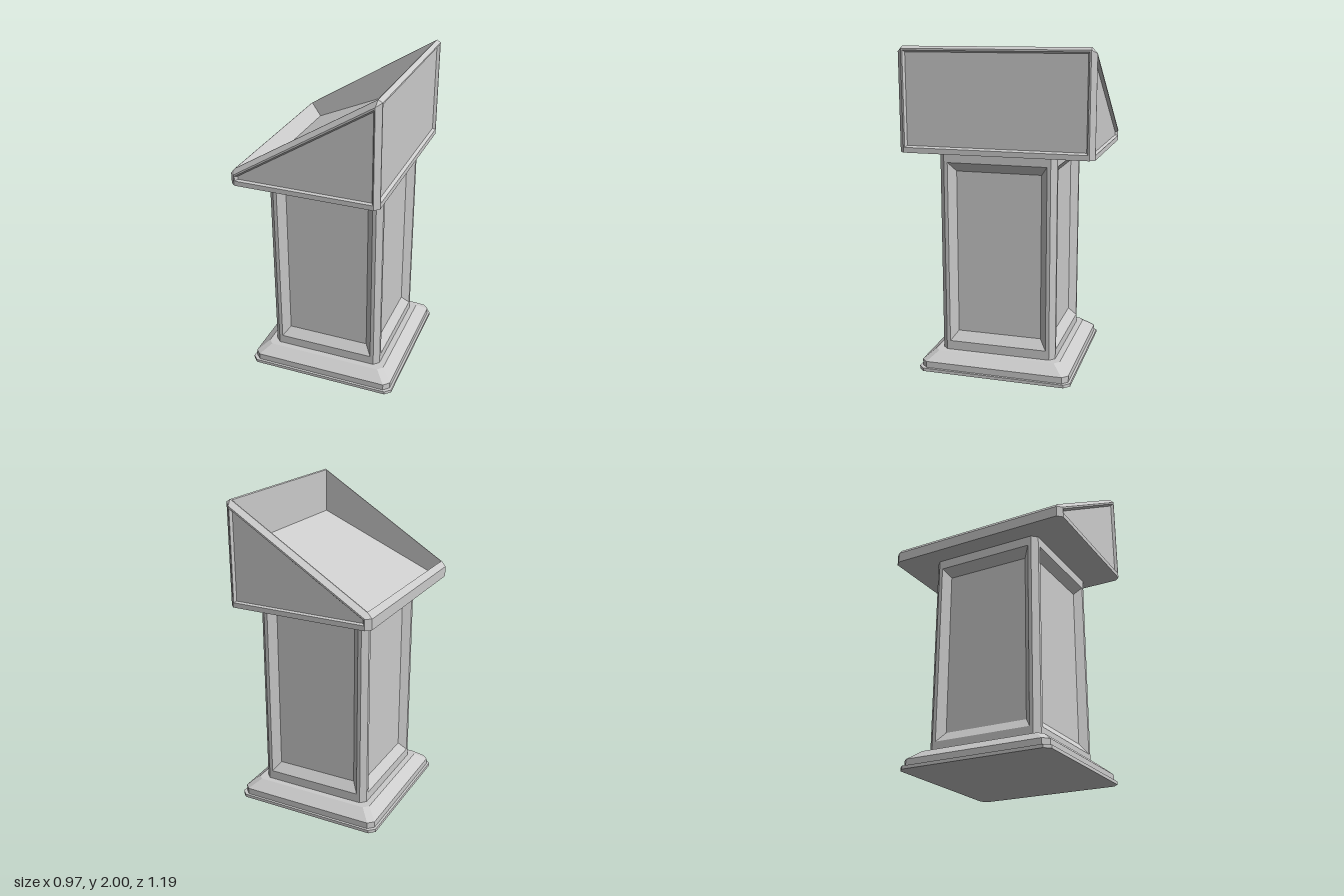
import * as THREE from 'three';

const material = new THREE.MeshStandardMaterial({ color: 0xcccccc, flatShading: true });

// Skin between successive loops of equal length; optionally cap either end.
function loft(loops, capEnd = true, capStart = false) {
  const pos = [];
  const tri = (a, b, c) => pos.push(...a, ...b, ...c);
  const fan = (p) => { for (let i = 1; i < p.length - 1; i++) tri(p[0], p[i], p[i + 1]); };
  for (let k = 0; k < loops.length - 1; k++) {
    const a = loops[k], b = loops[k + 1], n = a.length;
    for (let i = 0; i < n; i++) {
      const j = (i + 1) % n;
      tri(a[i], a[j], b[j]);
      tri(a[i], b[j], b[i]);
    }
  }
  if (capEnd) fan(loops[loops.length - 1]);
  if (capStart) fan([...loops[0]].reverse());
  const g = new THREE.BufferGeometry();
  g.setAttribute('position', new THREE.Float32BufferAttribute(pos, 3));
  g.computeVertexNormals();
  return g;
}

function add(parent, name, geometry) {
  const mesh = new THREE.Mesh(geometry, material);
  mesh.name = name;
  parent.add(mesh);
  return mesh;
}

// Horizontal rectangle with cut corners, counter-clockwise from above.
// height is a number or a function of x and z.
function octagon(x0, x1, z, c, height) {
  const y = typeof height === 'function' ? height : () => height;
  return [
    [x1, z - c], [x1, c - z], [x1 - c, -z], [x0 + c, -z],
    [x0, c - z], [x0, z - c], [x0 + c, z], [x1 - c, z],
  ].map(([px, pz]) => [px, y(px, pz), pz]);
}

// Upright rectangle facing +z
const rect = (w, y0, y1, z) => [[-w, y0, z], [w, y0, z], [w, y1, z], [-w, y1, z]];

function createBase() {
  const ring = (r, c, y) => octagon(-r, r, r, c, y);
  return loft([
    ring(0.483, 0.035, 0), ring(0.483, 0.035, 0.02),
    ring(0.468, 0.035, 0.02), ring(0.468, 0.035, 0.06),
    ring(0.4, 0.03, 0.115),
  ], true, true);
}

function createColumn() {
  const column = new THREE.Group();
  column.name = 'column';
  const y0 = 0.115, y1 = 1.37, r = 0.363, e = 0.33;
  for (let i = 0; i < 4; i++) {
    const side = new THREE.Group();
    side.name = 'columnSide';
    side.rotation.y = i * Math.PI / 2;
    add(side, 'recessedPanel', loft([
      rect(e, y0, y1, r), rect(0.308, 0.172, 1.312, r), rect(0.265, 0.23, 1.255, r - 0.045),
    ]));
    add(side, 'cornerChamfer', loft([[[e, y0, r], [r, y0, e], [r, y1, e], [e, y1, r]]]));
    column.add(side);
  }
  return column;
}

function createHead() {
  const head = new THREE.Group();
  head.name = 'slopedHead';
  const x0 = -0.49, x1 = 0.42, z = 0.595, c = 0.03;
  const slope = (x) => 2 + (x - 0.395) * 0.622;
  const lower = octagon(x0, x1, z, c, 1.37);
  const upper = octagon(x0, x1, z, c, (px, pz) =>
    Math.abs(pz) > 0.59 ? slope(px) - 0.03 : px > 0 ? 1.985 : 1.435);
  const wall = (i) => {
    const j = (i + 1) % 8;
    return [lower[i], lower[j], upper[j], upper[i]];
  };

  // Underside
  add(head, 'underside', loft([[...lower].reverse()]));

  // Recessed triangular sides, mirrored front to back
  const hole = [[-0.455, 1.4, z], [0.385, 1.4, z], [0.385, 1.952, z], [-0.455, 1.43, z]];
  const inset = [[-0.442, 1.406, z - 0.018], [0.376, 1.406, z - 0.018],
    [0.376, 1.934, z - 0.018], [-0.442, 1.425, z - 0.018]];
  const frontLoops = [wall(6), hole, inset];
  add(head, 'frontPanel', loft(frontLoops));
  add(head, 'backPanel', loft(frontLoops.map((l) => l.map(([a, b, d]) => [a, b, -d]).reverse())));

  // Tall recessed end panel
  const end = (w, a, b, x) => [[x, a, w], [x, a, -w], [x, b, -w], [x, b, w]];
  add(head, 'tallEndPanel', loft([wall(0), end(0.556, 1.402, 1.975, x1), end(0.546, 1.412, 1.965, x1 - 0.018)]));

  // Low end and the four cut corners
  add(head, 'lowEnd', loft([wall(4)]));
  for (const i of [1, 3, 5, 7]) add(head, 'cornerChamfer', loft([wall(i)]));

  // Bevelled rim, inner walls and sunken reading surface
  const corners = [0, 1, 1, 2, 2, 3, 3, 0];
  const box = (a, b, w, y) => {
    const p = [[b, w], [b, -w], [a, -w], [a, w]];
    return corners.map((k) => [p[k][0], y(p[k][0]), p[k][1]]);
  };
  const ridge = box(-0.465, 0.395, 0.565, slope);
  const lip = box(-0.46, 0.387, 0.558, slope);
  const floor = box(-0.4, 0.387, 0.558, (x) => (x < 0 ? 1.38 : 1.72));
  add(head, 'rim', loft([upper, ridge, lip], false));
  add(head, 'readingTray', loft([lip, floor]));
  return head;
}

export function createModel() {
  const model = new THREE.Group();
  model.name = 'lectern';
  add(model, 'base', createBase());
  model.add(createColumn(), createHead());
  return model;
}
